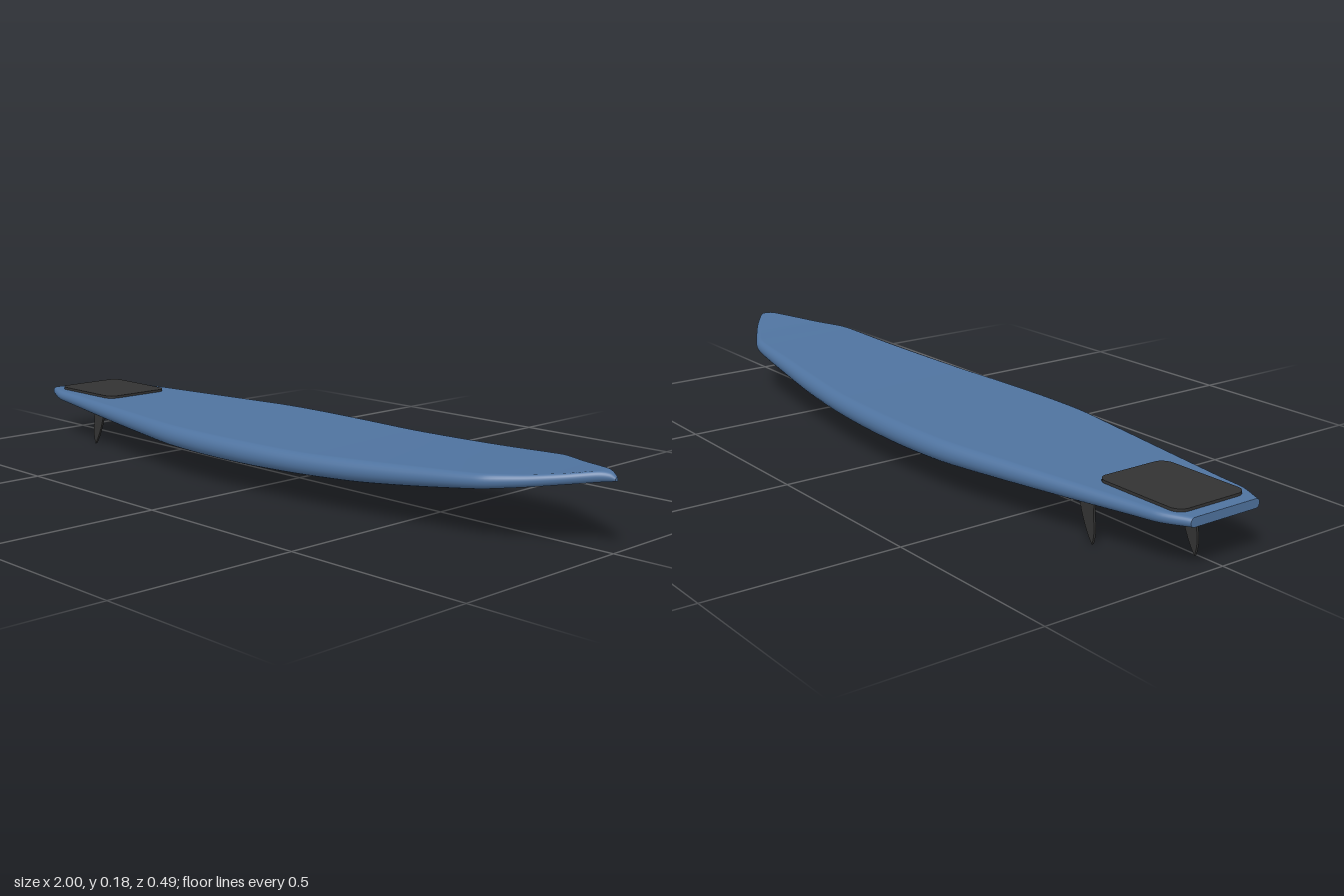
import * as THREE from 'three';

// Board stations from tail to nose: x, half width, bottom y, deck y
const STATIONS = [
  [-1, 0.105, 0.112, 0.135], [-0.93, 0.135, 0.107, 0.135], [-0.85, 0.147, 0.102, 0.135],
  [-0.65, 0.18, 0.092, 0.135], [-0.45, 0.213, 0.084, 0.135], [-0.28, 0.239, 0.079, 0.135],
  [-0.12, 0.245, 0.076, 0.135], [0.05, 0.24, 0.076, 0.135], [0.22, 0.228, 0.08, 0.136],
  [0.4, 0.208, 0.088, 0.143], [0.56, 0.187, 0.103, 0.151], [0.7, 0.17, 0.12, 0.159],
  [0.76, 0.157, 0.128, 0.163], [0.84, 0.113, 0.139, 0.168], [0.91, 0.07, 0.15, 0.176],
  [0.965, 0.03, 0.158, 0.184], [0.988, 0.013, 0.161, 0.181], [1, 0.005, 0.163, 0.172],
];

function boardGeometry() {
  const spline = (k) => new THREE.CatmullRomCurve3(
    STATIONS.map((s) => new THREE.Vector3(s[0], s[k], 0)), false, 'catmullrom', 0.4);
  const [width, bottom, deck] = [1, 2, 3].map(spline);
  const rows = 102, arc = 12, ring = 2 * (arc + 1);
  const pos = [], idx = [];

  // Cross-sections: flat deck and bottom joined by round rails
  for (let i = 0; i <= rows; i++) {
    const t = i / rows;
    const p = width.getPoint(t), lo = bottom.getPoint(t).y, hi = deck.getPoint(t).y;
    const h = (hi - lo) / 2, r = Math.min(h, p.y);
    for (const side of [1, -1]) {
      for (let k = 0; k <= arc; k++) {
        const a = -Math.PI / 2 + (k / arc) * Math.PI;
        pos.push(p.x, (lo + hi) / 2 + side * h * Math.sin(a), side * (p.y - r + r * Math.cos(a)));
      }
    }
  }
  for (let i = 0; i < rows; i++) {
    for (let j = 0; j < ring; j++) {
      const a = i * ring + j, b = i * ring + (j + 1) % ring;
      idx.push(a, a + ring, b, b, a + ring, b + ring);
    }
  }

  // Flat caps with their own vertices for sharp ends
  for (const row of [0, rows]) {
    const start = pos.length / 3;
    for (let j = 0; j < ring; j++) {
      const o = (row * ring + j) * 3;
      pos.push(pos[o], pos[o + 1], pos[o + 2]);
    }
    for (let j = 1; j < ring - 1; j++) {
      if (row === 0) idx.push(start, start + j, start + j + 1);
      else idx.push(start, start + j + 1, start + j);
    }
  }
  const geo = new THREE.BufferGeometry();
  geo.setAttribute('position', new THREE.Float32BufferAttribute(pos, 3));
  geo.setIndex(idx);
  geo.computeVertexNormals();
  return geo;
}

// Swept-back fin in the xy plane, tip at y = 0
function finGeometry() {
  const s = new THREE.Shape();
  s.moveTo(0.03, 0.112);
  s.quadraticCurveTo(0.012, 0.04, -0.02, 0);
  s.quadraticCurveTo(-0.03, 0.03, -0.023, 0.06);
  s.quadraticCurveTo(-0.02, 0.085, -0.027, 0.112);
  const geo = new THREE.ExtrudeGeometry(s, { depth: 0.006, bevelEnabled: false, curveSegments: 10 });
  return geo.translate(0, 0, -0.003);
}

// Rounded rectangle lying flat on the deck
function padGeometry(length, width, r) {
  const x = length / 2, y = width / 2, s = new THREE.Shape();
  s.absarc(x - r, y - r, r, 0, Math.PI / 2);
  s.absarc(-x + r, y - r, r, Math.PI / 2, Math.PI);
  s.absarc(-x + r, -y + r, r, Math.PI, Math.PI * 1.5);
  s.absarc(x - r, -y + r, r, Math.PI * 1.5, Math.PI * 2);
  const geo = new THREE.ExtrudeGeometry(s, { depth: 0.012, bevelEnabled: false, curveSegments: 8 });
  return geo.rotateX(-Math.PI / 2);
}

export function createModel() {
  const group = new THREE.Group();
  const blue = new THREE.MeshStandardMaterial({ color: 0x4f739f });
  const dark = new THREE.MeshStandardMaterial({ color: 0x333333 });
  const add = (name, geo, mat, x, y, z) => {
    const mesh = new THREE.Mesh(geo, mat);
    mesh.name = name;
    mesh.position.set(x, y, z);
    group.add(mesh);
  };

  add('board', boardGeometry(), blue, 0, 0, 0);
  add('tailPad', padGeometry(0.26, 0.21, 0.03), dark, -0.837, 0.13, -0.003);

  // Centre fin at the tail, side fins further forward
  const fin = finGeometry();
  add('centreFin', fin, dark, -0.903, 0, -0.005);
  add('leftFin', fin, dark, -0.722, 0, -0.144);
  add('rightFin', fin, dark, -0.722, 0, 0.133);
  return group;
}
